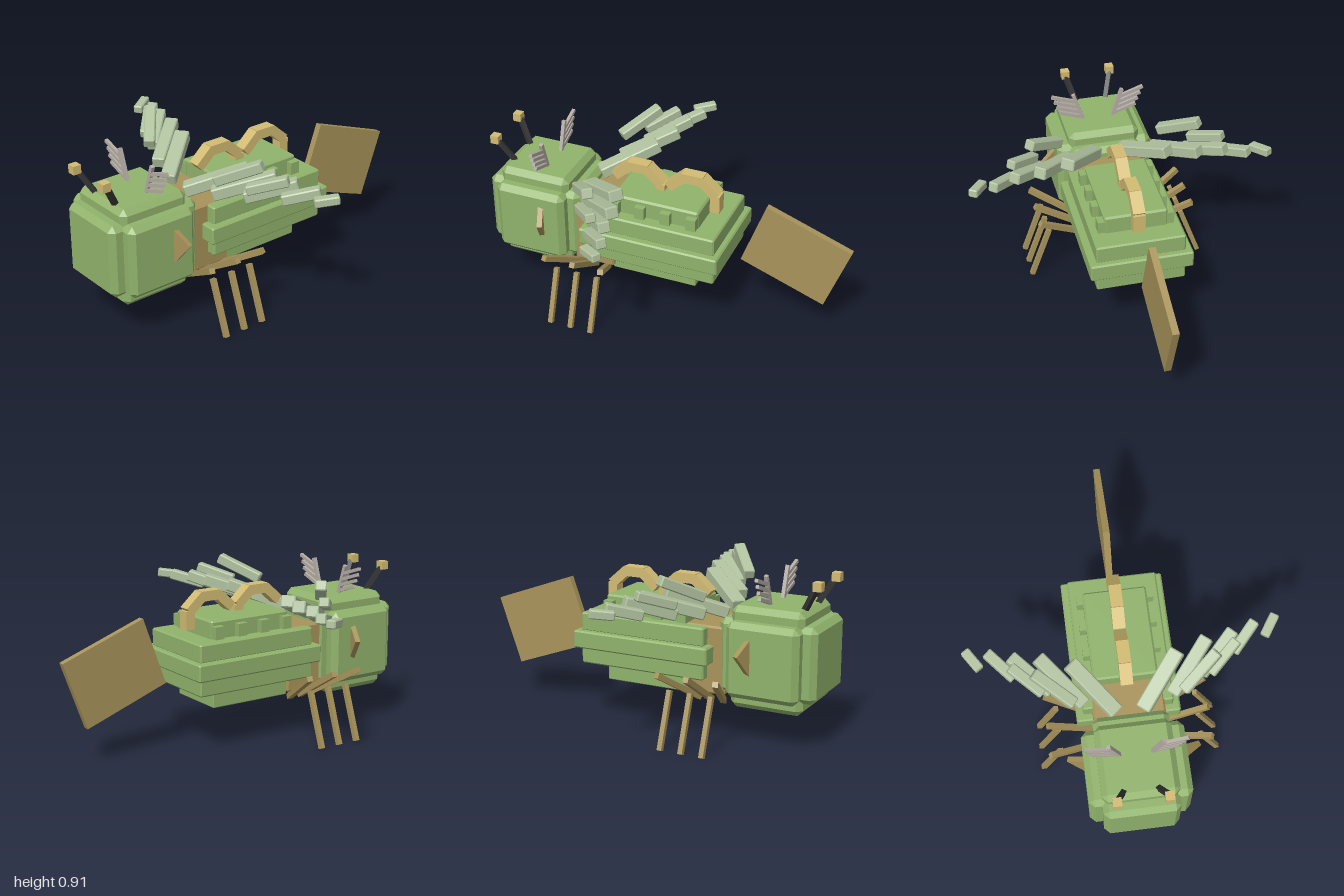
import * as THREE from 'three';
import { ConvexGeometry } from 'three/addons/geometries/ConvexGeometry.js';

const mat = (name, color) => {
  const m = new THREE.MeshStandardMaterial({ color });
  m.name = name;
  return m;
};
const V = (x, y, z) => new THREE.Vector3(x, y, z);

// Box with bevelled edges and corners
function bevelBox(w, h, d, b) {
  const pts = [];
  for (const i of [-1, 1]) for (const j of [-1, 1]) for (const k of [-1, 1]) {
    const x = w / 2, y = h / 2, z = d / 2;
    pts.push(V(i * x, j * (y - b), k * (z - b)), V(i * (x - b), j * y, k * (z - b)), V(i * (x - b), j * (y - b), k * z));
  }
  return new ConvexGeometry(pts);
}

export function createModel() {
  const model = new THREE.Group();
  const green = mat('leaf green', 0x91b36c);
  const pale = mat('pale wing green', 0xb0c19e);
  const brown = mat('brown', 0xa8935a);
  const tan = mat('light tan', 0xd2bb72);
  const dark = mat('dark grey', 0x343434);
  const grey = mat('warm grey', 0xb4aca4);

  const add = (name, geo, material, x = 0, y = 0, z = 0) => {
    const m = new THREE.Mesh(geo, material);
    m.name = name;
    m.position.set(x, y, z);
    model.add(m);
    return m;
  };
  // Bevelled block given by its extents, symmetric in x
  const block = (name, material, halfW, y0, y1, z0, z1, b) =>
    add(name, bevelBox(halfW * 2, y1 - y0, z1 - z0, b), material, 0, (y0 + y1) / 2, (z0 + z1) / 2);
  // Bar running from a to b
  const bar = (name, material, a, b, w, h, bevel = 0) => {
    const len = a.distanceTo(b);
    const geo = bevel ? bevelBox(w, h, len, bevel) : new THREE.BoxGeometry(w, h, len);
    const m = add(name, geo, material);
    m.position.copy(a).lerp(b, 0.5);
    m.lookAt(b);
    return m;
  };

  // Head: three crossing blocks
  block('headTall', green, 0.2, 0.2, 0.74, 0.53, 0.93, 0.03);
  block('headWide', green, 0.268, 0.27, 0.67, 0.53, 0.93, 0.03);
  block('headDeep', green, 0.2, 0.27, 0.67, 0.465, 1.0, 0.03);

  // Thorax and layered abdomen
  block('thorax', brown, 0.19, 0.25, 0.615, 0.27, 0.5, 0.01);
  block('abdomenBottom', green, 0.17, 0.235, 0.34, -0.2, 0.28, 0.005);
  block('abdomenLower', green, 0.24, 0.33, 0.43, -0.325, 0.4, 0.008);
  block('abdomenMiddle', green, 0.277, 0.42, 0.515, -0.355, 0.435, 0.008);
  block('abdomenUpper', green, 0.24, 0.51, 0.61, -0.325, 0.4, 0.008);
  block('abdomenTop', green, 0.17, 0.6, 0.708, -0.21, 0.28, 0.01);

  // Back arches: rear post and three curved blocks each
  for (const dz of [0, 0.31]) {
    const arch = [
      [-0.25, 0.64, -0.25, 0.74], [-0.255, 0.735, -0.165, 0.815],
      [-0.18, 0.81, -0.06, 0.81], [-0.075, 0.815, 0.015, 0.735],
    ];
    for (const [z0, y0, z1, y1] of arch)
      bar('backArch', tan, V(0, y0, z0 + dz), V(0, y1, z1 + dz), 0.065, 0.054);
  }

  // Tail plate
  add('tailPlate', new THREE.BoxGeometry(0.036, 0.387, 0.5), brown, 0, 0.468, -0.7).rotation.x = -0.35;

  // Wing feathers: inner front end, outer back end, width, thickness
  const feathers = [
    [[0.07, 0.67, 0.455], [0.28, 0.785, 0.2], 0.08, 0.065],
    [[0.23, 0.69, 0.4], [0.44, 0.79, 0.15], 0.07, 0.065],
    [[0.39, 0.71, 0.32], [0.58, 0.795, 0.13], 0.065, 0.06],
    [[0.57, 0.735, 0.23], [0.7, 0.785, 0.09], 0.055, 0.055],
    [[0.74, 0.765, 0.17], [0.81, 0.78, 0.065], 0.05, 0.045],
    [[0.28, 0.79, 0.42], [0.47, 0.895, 0.27], 0.06, 0.055],
    [[0.43, 0.77, 0.34], [0.585, 0.835, 0.2], 0.055, 0.05],
  ];

  for (const s of [-1, 1]) {
    const P = (x, y, z) => V(s * x, y, z);
    for (const [a, b, w, h] of feathers) bar('wingFeather', pale, P(...a), P(...b), w, h, 0.006);

    // Side vents
    for (const z of [0.255, 0.11, -0.035, -0.18])
      add('vent', new THREE.BoxGeometry(0.06, 0.068, 0.055), green, s * 0.175, 0.648, z);

    // Legs: angled thighs and separate shins
    for (const k of [-1, 0, 1]) {
      bar('thigh', brown, P(0.13, 0.205, 0.4 + k * 0.07), P(0.435, 0.39, 0.4 + k * 0.165), 0.03, 0.03);
      bar('shin', brown, P(0.38, 0.305, 0.4 + k * 0.118), P(0.487, 0.01, 0.4 + k * 0.118), 0.026, 0.026);
    }

    // Cheek spike
    const cheek = add('cheekSpike', new THREE.BoxGeometry(0.15, 0.15, 0.028), brown, s * 0.25, 0.505, 0.665);
    cheek.rotation.set(0, s * 0.35, s * 0.9);

    // Antenna
    bar('antennaStalk', dark, P(0.085, 0.72, 0.885), P(0.13, 0.86, 0.965), 0.026, 0.026);
    add('antennaTip', new THREE.BoxGeometry(0.046, 0.046, 0.046), tan, s * 0.13, 0.872, 0.977);

    // Feathery crest: stalk with branches
    bar('crestStalk', grey, P(0.08, 0.72, 0.7), P(0.14, 0.9, 0.7), 0.02, 0.02);
    for (let i = 0; i < 4; i++) {
      const x = 0.09 + i * 0.014, y = 0.75 + i * 0.035;
      bar('crestBranch', grey, P(x, y, 0.7), P(x + 0.13, y + 0.045, 0.7), 0.018, 0.018);
    }
  }
  return model;
}
